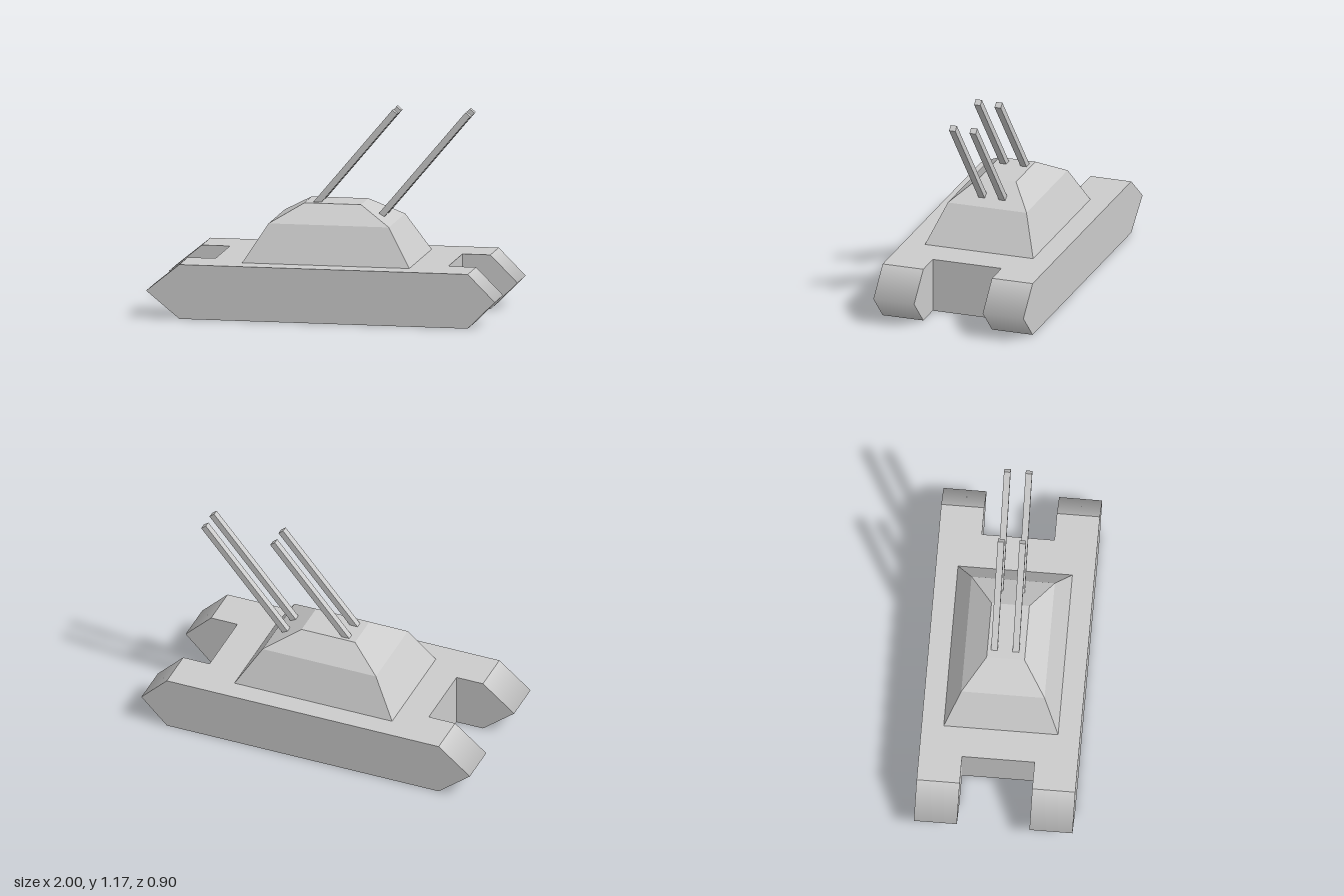
import * as THREE from 'three';

const material = new THREE.MeshStandardMaterial({ color: 0xcccccc });

function part(name, geometry) {
  const mesh = new THREE.Mesh(geometry, material);
  mesh.name = name;
  return mesh;
}

// Side pod: wedge-ended profile, shaded smoothly around its pointed noses
function podGeometry(width) {
  const profile = [[-1, 0.155], [-0.81, 0], [0.845, 0], [1, 0.155], [0.845, 0.31], [-0.81, 0.31]];
  const shape = new THREE.Shape(profile.map(([x, y]) => new THREE.Vector2(x, y)));
  const geometry = new THREE.ExtrudeGeometry(shape, { depth: width, bevelEnabled: false });
  const pos = geometry.attributes.position;
  const normal = geometry.attributes.normal;
  for (let i = 0; i < pos.count; i++) {
    const onNose = Math.abs(pos.getX(i)) > 0.99;
    if (onNose && Math.abs(normal.getZ(i)) < 0.5) normal.setXYZ(i, Math.sign(pos.getX(i)), 0, 0);
  }
  return geometry;
}

// Turret: a box with three levels, each fitted to its own rectangle
function turretGeometry() {
  const levels = [
    { y: 0.31, left: -0.475, right: 0.485, z: 0.323 },
    { y: 0.525, left: -0.34, right: 0.35, z: 0.235 },
    { y: 0.627, left: -0.16, right: 0.165, z: 0.107 },
  ];
  const geometry = new THREE.BoxGeometry(2, 2, 2, 1, 2, 1).toNonIndexed();
  const pos = geometry.attributes.position;
  for (let i = 0; i < pos.count; i++) {
    const level = levels[Math.round(pos.getY(i)) + 1];
    pos.setXYZ(i, pos.getX(i) < 0 ? level.left : level.right, level.y, pos.getZ(i) * level.z);
  }
  geometry.computeVertexNormals();
  return geometry;
}

export function createModel() {
  const model = new THREE.Group();
  model.name = 'tank';

  // Centre hull, shorter than the pods so a notch is left at each end
  const hull = part('hull', new THREE.BoxGeometry(1.335, 0.31, 0.41));
  hull.position.set(0.0175, 0.155, 0);
  model.add(hull);

  // Track pods on both sides
  const podWidth = 0.243;
  const pod = podGeometry(podWidth);
  const leftPod = part('frontTrackPod', pod);
  leftPod.position.z = 0.205;
  const rightPod = part('rearTrackPod', pod);
  rightPod.position.z = -0.205 - podWidth;
  model.add(leftPod, rightPod);

  model.add(part('turret', turretGeometry()));

  // Four square barrels raised 50 degrees, their bases buried in the turret
  const length = 0.8;
  const barrel = new THREE.BoxGeometry(length, 0.036, 0.037);
  barrel.translate(-length / 2, 0, 0);
  const barrels = new THREE.Group();
  barrels.name = 'gunBarrels';
  for (const tipX of [0.351, 0.771]) {
    for (const z of [0.054, -0.068]) {
      const gun = part('gunBarrel', barrel);
      gun.position.set(tipX, 1.156, z);
      gun.rotation.z = THREE.MathUtils.degToRad(50);
      barrels.add(gun);
    }
  }
  model.add(barrels);

  return model;
}
